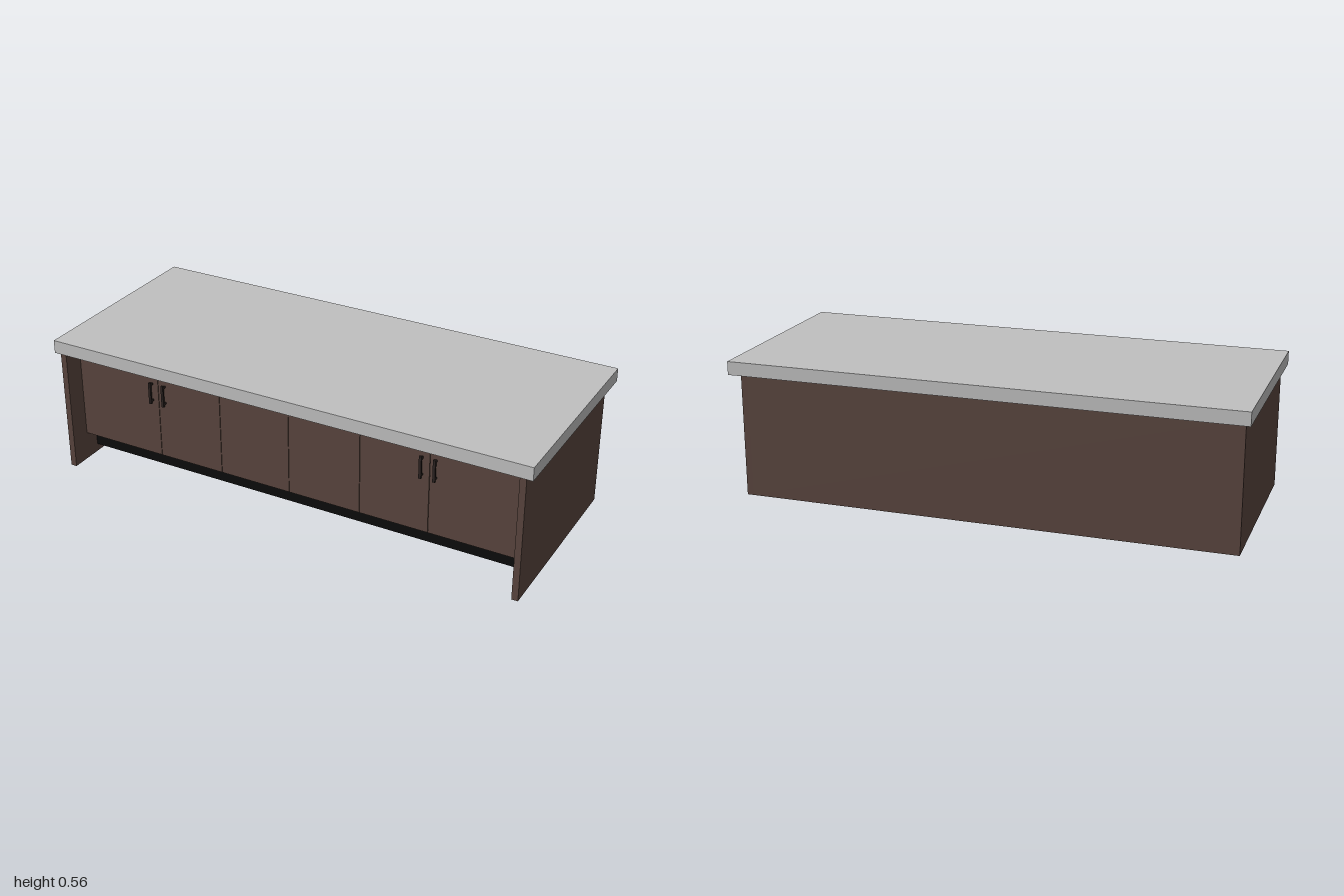
import * as THREE from 'three';

export function createModel() {
  const model = new THREE.Group();
  model.name = 'kitchenIsland';

  const material = (name, color) => {
    const m = new THREE.MeshStandardMaterial({ color });
    m.name = name;
    return m;
  };
  const wood = material('brownWood', 0x59453e);
  const stone = material('greyStone', 0xc0c0c0);
  const black = material('black', 0x0c0c0c);
  const darkMetal = material('darkMetal', 0x2a2220);

  // Box given by its minimum and maximum corners
  const box = (name, mat, [x0, y0, z0], [x1, y1, z1], parent = model) => {
    const mesh = new THREE.Mesh(new THREE.BoxGeometry(x1 - x0, y1 - y0, z1 - z0), mat);
    mesh.position.set((x0 + x1) / 2, (y0 + y1) / 2, (z0 + z1) / 2);
    mesh.name = name;
    parent.add(mesh);
    return mesh;
  };

  // Overhanging worktop
  box('worktop', stone, [-1, 0.502, -0.415], [1, 0.555, 0.415]);

  // Carcass, open at the bottom
  box('rightSidePanel', wood, [-0.975, 0, -0.36], [-0.95, 0.502, 0.41]);
  box('leftSidePanel', wood, [0.95, 0, -0.36], [0.975, 0.502, 0.41]);
  box('backPanel', wood, [-0.95, 0, -0.36], [0.95, 0.502, -0.338]);

  // Rail above the doors and recessed plinth below them
  box('topRail', stone, [-0.95, 0.478, 0.305], [0.95, 0.502, 0.325]);
  box('plinth', black, [-0.95, 0.032, 0.245], [0.95, 0.115, 0.265]);
  box('plinthShelf', black, [-0.95, 0.11, 0.265], [0.95, 0.115, 0.305]);

  // Doors separated by narrow seams
  const doors = new THREE.Group();
  doors.name = 'doors';
  model.add(doors);
  const seams = [-0.95, -0.58, -0.3, 0, 0.3, 0.58, 0.95];
  for (let i = 0; i < seams.length - 1; i++) {
    box('door', wood, [seams[i] + 0.001, 0.115, 0.305], [seams[i + 1] - 0.001, 0.478, 0.327], doors);
  }

  // Paired bar handles, each on two short posts
  for (const x of [-0.608, -0.55, 0.55, 0.605]) {
    const handle = new THREE.Group();
    handle.name = 'handle';
    model.add(handle);
    box('handleBar', darkMetal, [x - 0.005, 0.345, 0.339], [x + 0.005, 0.435, 0.347], handle);
    for (const y of [0.355, 0.425]) {
      box('handlePost', darkMetal, [x - 0.004, y - 0.004, 0.326], [x + 0.004, y + 0.004, 0.34], handle);
    }
  }

  return model;
}
